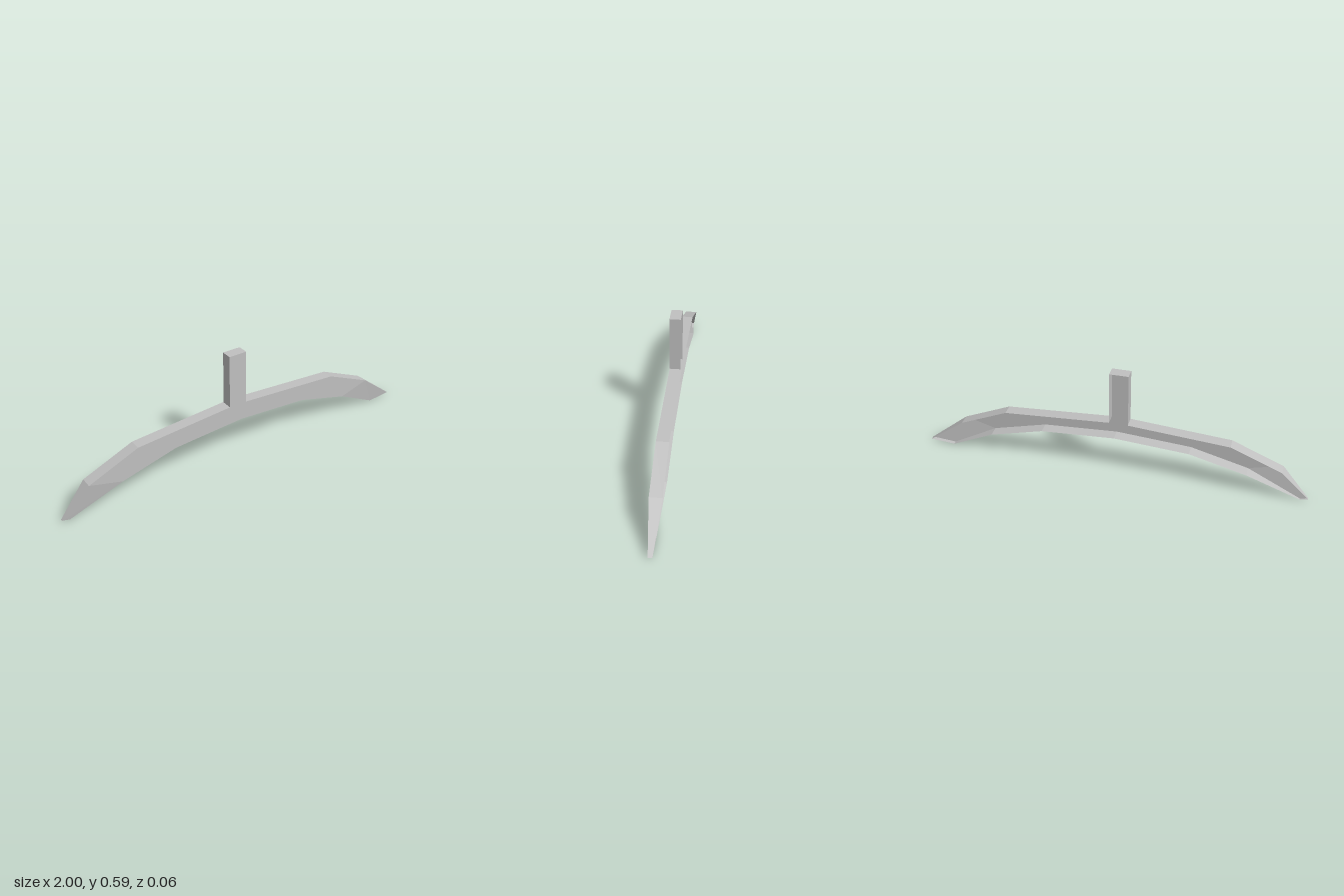
import * as THREE from 'three';

const grey = new THREE.MeshStandardMaterial({ color: 0xc0c0c0, side: THREE.DoubleSide, flatShading: true });
grey.name = 'plain grey';

// Cross-sections along the arch: [top x, top y, bottom x, bottom y, half depth]
const SECTIONS = [
  [-1, 0.01, -0.96, 0, 0.005],
  [-0.86, 0.165, -0.69, 0.118, 0.03],
  [-0.6, 0.273, -0.4, 0.193, 0.03],
  [-0.09, 0.31, -0.02, 0.218, 0.03],
  [0.005, 0.31, -0.02, 0.218, 0.03],
  [0.55, 0.273, 0.36, 0.193, 0.03],
  [0.8, 0.165, 0.64, 0.118, 0.03],
  [1, 0.01, 0.87, 0, 0.01],
];

// Mesh from four-cornered faces, corners counter-clockwise from outside
function quadMesh(name, quads) {
  const points = quads.flatMap(([a, b, c, d]) => [a, b, c, a, c, d]).flat();
  const geometry = new THREE.BufferGeometry();
  geometry.setAttribute('position', new THREE.Float32BufferAttribute(points, 3));
  geometry.computeVertexNormals();
  const mesh = new THREE.Mesh(geometry, grey);
  mesh.name = name;
  return mesh;
}

export function createModel() {
  const group = new THREE.Group();
  group.name = 'curvedBladeWithStem';

  const rings = SECTIONS.map(([tx, ty, bx, by, h]) => ({
    topFront: [tx, ty, h], topBack: [tx, ty, -h],
    lowFront: [bx, by, h], lowBack: [bx, by, -h],
  }));
  const front = [], top = [], bottom = [];
  for (let i = 0; i < rings.length - 1; i++) {
    const a = rings[i], b = rings[i + 1];
    front.push([a.topFront, a.lowFront, b.lowFront, b.topFront]);
    // The stem opens into the arch here, so there is no top wall
    if (i === 3) continue;
    top.push([a.topFront, b.topFront, b.topBack, a.topBack]);
    bottom.push([a.lowFront, a.lowBack, b.lowBack, b.lowFront]);
  }
  const s = rings[0], e = rings[rings.length - 1];

  // Arch: a hollow shell, open at the back
  group.add(quadMesh('archFront', front));
  group.add(quadMesh('archTop', top));
  group.add(quadMesh('archUnderside', bottom));
  group.add(quadMesh('archTips', [
    [s.topFront, s.topBack, s.lowBack, s.lowFront],
    [e.topFront, e.lowFront, e.lowBack, e.topBack],
  ]));

  // Stem: front, sides and top, open at the back and below
  const l = -0.09, r = 0.005, y0 = 0.31, y1 = 0.59, f = 0.03, k = -0.025;
  group.add(quadMesh('stem', [
    [[l, y0, f], [r, y0, f], [r, y1, f], [l, y1, f]],
    [[r, y0, f], [r, y0, k], [r, y1, k], [r, y1, f]],
    [[l, y0, k], [l, y0, f], [l, y1, f], [l, y1, k]],
    [[l, y1, f], [r, y1, f], [r, y1, k], [l, y1, k]],
  ]));
  return group;
}
